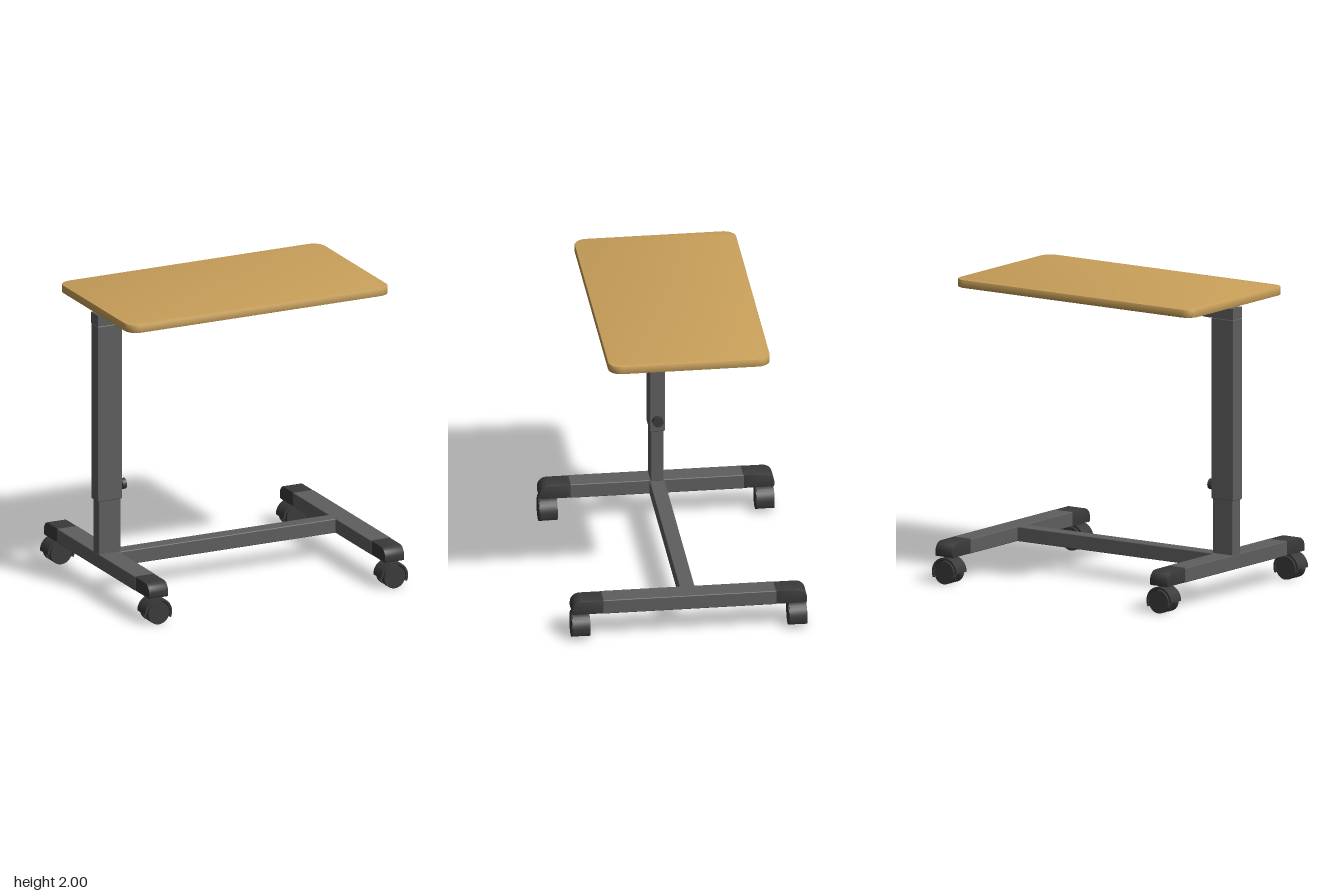
import * as THREE from 'three';
import { RoundedBoxGeometry } from 'three/addons/geometries/RoundedBoxGeometry.js';
import { toCreasedNormals } from 'three/addons/utils/BufferGeometryUtils.js';

const wood = new THREE.MeshStandardMaterial({ color: 0xc9a05a });
wood.name = 'wood';
const steel = new THREE.MeshStandardMaterial({ color: 0x5e5e5e });
steel.name = 'grey steel';
const plastic = new THREE.MeshStandardMaterial({ color: 0x3a3a3a });
plastic.name = 'dark plastic';

function add(parent, name, geometry, material, x = 0, y = 0, z = 0) {
  const mesh = new THREE.Mesh(geometry, material);
  mesh.name = name;
  mesh.position.set(x, y, z);
  parent.add(mesh);
  return mesh;
}

// Box given by its limits on each axis
function tube(parent, name, [x0, x1], [y0, y1], [z0, z1]) {
  const g = new RoundedBoxGeometry(x1 - x0, y1 - y0, z1 - z0, 2, 0.006);
  return add(parent, name, g, steel, (x0 + x1) / 2, (y0 + y1) / 2, (z0 + z1) / 2);
}

// Extrusion centred on its depth
function extrude(shape, depth, bevel = 0) {
  const g = new THREE.ExtrudeGeometry(shape, {
    depth: depth - 2 * bevel, bevelEnabled: bevel > 0, bevelSize: bevel, bevelThickness: bevel,
    bevelOffset: -bevel, bevelSegments: 2, curveSegments: 16,
  });
  g.translate(0, 0, bevel - depth / 2);
  return toCreasedNormals(g, 0.6);
}

function roundedRect(w, h, r) {
  const s = new THREE.Shape();
  s.absarc(w / 2 - r, h / 2 - r, r, 0, Math.PI / 2);
  s.absarc(r - w / 2, h / 2 - r, r, Math.PI / 2, Math.PI);
  s.absarc(r - w / 2, r - h / 2, r, Math.PI, Math.PI * 1.5);
  s.absarc(w / 2 - r, r - h / 2, r, Math.PI * 1.5, Math.PI * 2);
  s.closePath();
  return s;
}

// Twin-wheel caster with a curved hood
function makeCaster() {
  const caster = new THREE.Group();
  caster.name = 'caster';
  const hood = new THREE.Shape();
  hood.absarc(0, 0, 0.099, -0.42, Math.PI, false);
  hood.absarc(0, 0, 0.085, Math.PI, -0.42, true);
  hood.closePath();
  add(caster, 'hood', extrude(hood, 0.116), plastic);
  for (const side of [-1, 1]) {
    const wheel = new THREE.CylinderGeometry(0.077, 0.077, 0.04, 40).rotateX(Math.PI / 2);
    add(caster, 'wheel', wheel, plastic, 0, 0, side * 0.041);
  }
  add(caster, 'hub', new THREE.CylinderGeometry(0.045, 0.045, 0.05, 24).rotateX(Math.PI / 2), plastic);
  // Web joins the hub to the hood between the wheels
  add(caster, 'web', new THREE.BoxGeometry(0.07, 0.09, 0.03), plastic, 0, 0.045, 0);
  add(caster, 'stem', new THREE.CylinderGeometry(0.032, 0.032, 0.025, 24), plastic, 0, 0.1, 0);
  return caster;
}

// Foot bar along z with a rounded cap and a caster at each end
function makeFoot(x) {
  const foot = new THREE.Group();
  foot.name = 'foot';
  tube(foot, 'footBar', [x - 0.074, x + 0.074], [0.187, 0.285], [-0.575, 0.575]);
  const cap = new THREE.Shape();
  cap.moveTo(0.57, 0.187);
  cap.lineTo(0.765, 0.187);
  cap.quadraticCurveTo(0.777, 0.187, 0.777, 0.199);
  cap.lineTo(0.777, 0.222);
  cap.absarc(0.714, 0.222, 0.063, 0, Math.PI / 2);
  cap.lineTo(0.57, 0.285);
  cap.closePath();
  const capGeometry = extrude(cap, 0.142, 0.006).rotateY(-Math.PI / 2);
  for (const side of [-1, 1]) {
    const end = new THREE.Group();
    end.name = side > 0 ? 'frontEnd' : 'backEnd';
    end.position.x = x;
    const capMesh = add(end, 'endCap', capGeometry, plastic);
    if (side < 0) capMesh.rotation.y = Math.PI;
    const caster = makeCaster();
    caster.position.set(0, 0.082, side * 0.717);
    end.add(caster);
    foot.add(end);
  }
  return foot;
}

export function createModel() {
  const table = new THREE.Group();
  table.name = 'overbedTable';

  // Tabletop with rounded corners
  const top = extrude(roundedRect(1.92, 1.07, 0.085), 0.055, 0.006).rotateX(-Math.PI / 2);
  add(table, 'tabletop', top, wood, 0, 1.9725, 0);

  // Tapered support arm
  const arm = new THREE.Shape();
  arm.moveTo(-0.955, 1.858);
  arm.lineTo(-0.74, 1.858);
  arm.lineTo(0.064, 1.912);
  arm.lineTo(0.064, 1.934);
  arm.lineTo(-0.955, 1.934);
  arm.closePath();
  add(table, 'supportArm', extrude(arm, 0.102), steel);

  // Telescopic column
  tube(table, 'outerColumn', [-0.955, -0.778], [0.648, 1.858], [-0.05, 0.05]);
  tube(table, 'innerColumn', [-0.944, -0.784], [0.28, 0.7], [-0.043, 0.043]);

  // Height lock knob
  const knob = new THREE.Group();
  knob.name = 'lockKnob';
  knob.position.set(-0.75, 0.735, 0);
  add(knob, 'knobHead', new THREE.CylinderGeometry(0.036, 0.036, 0.03, 32).rotateZ(Math.PI / 2), plastic);
  add(knob, 'knobShaft', new THREE.CylinderGeometry(0.012, 0.012, 0.04, 16).rotateZ(Math.PI / 2), plastic, -0.025);
  table.add(knob);

  // Base
  tube(table, 'crossBar', [-0.81, 0.8], [0.187, 0.284], [-0.05, 0.05]);
  table.add(makeFoot(-0.871), makeFoot(0.859));
  return table;
}
